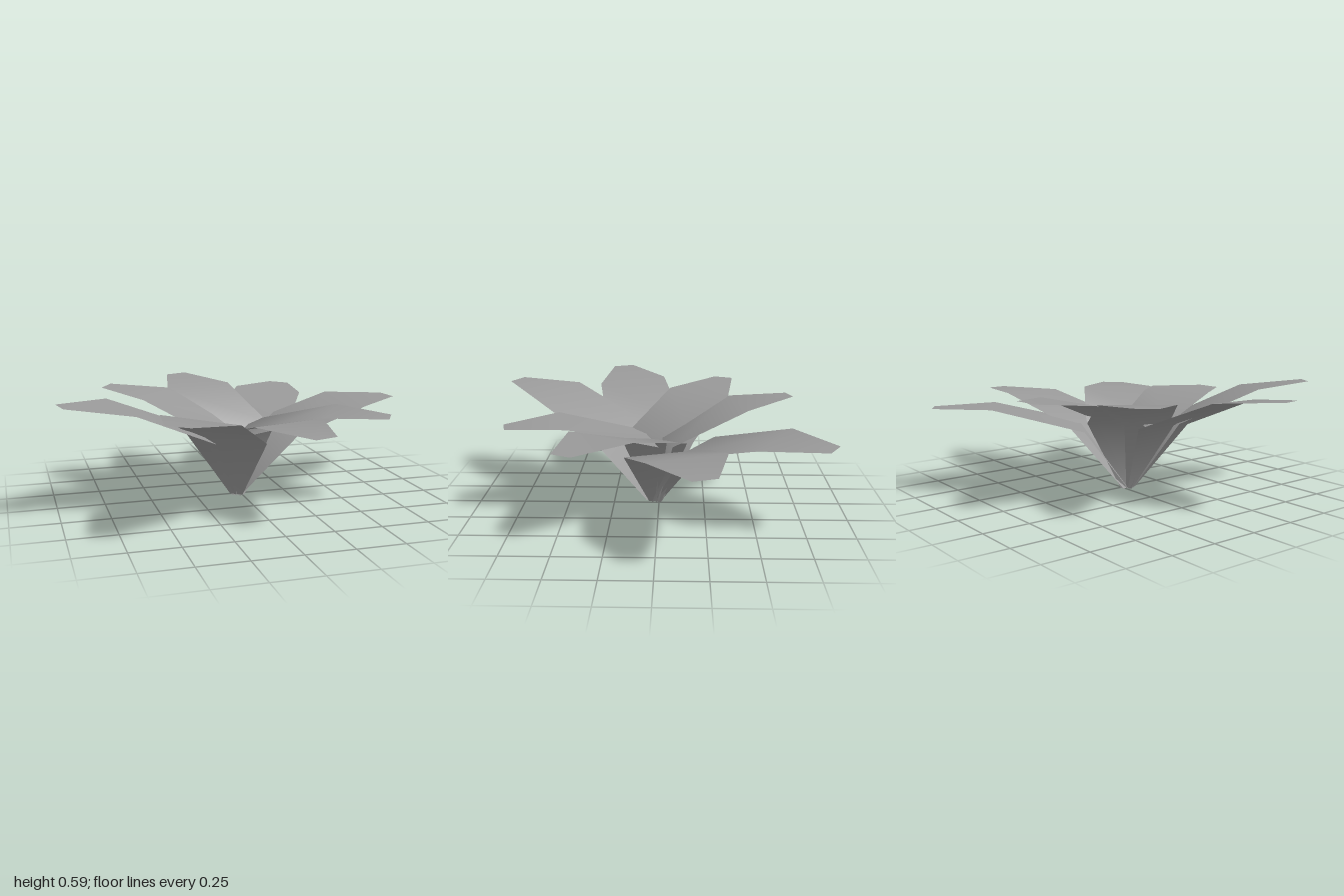
import * as THREE from 'three';

// Cross-sections from base to tip: [half width, left reach, left height, right reach, right height]
const lowWide = [
  [0.035, -0.005, 0.005, -0.005, 0.005],
  [0.22, 0.245, 0.365, 0.245, 0.35],
  [0.2, 0.72, 0.488, 0.72, 0.465],
  [0.06, 1.035, 0.476, 1.035, 0.471],
];
const lowUpright = [
  [0.035, 0, 0.005, 0, 0.005],
  [0.22, 0.03, 0.385, 0.03, 0.365],
  [0.2, 0.503, 0.5, 0.503, 0.497],
  [0.06, 0.815, 0.483, 0.815, 0.48],
];
const highWide = [
  [0.035, 0.035, 0.015, 0.035, 0.015],
  [0.22, 0.25, 0.36, 0.25, 0.4],
  [0.198, 0.675, 0.543, 0.675, 0.572],
  [0.06, 0.99, 0.588, 0.99, 0.592],
];
const highUpright = [
  [0.035, 0.01, 0.005, 0.01, 0.005],
  [0.22, 0.045, 0.36, 0.045, 0.38],
  [0.197, 0.467, 0.545, 0.467, 0.55],
  [0.06, 0.766, 0.578, 0.766, 0.582],
];

const material = new THREE.MeshStandardMaterial({ color: 0x999999, side: THREE.DoubleSide });

// One thin petal growing along +x, with its right edge towards +z
function petalGeometry(rows) {
  const positions = [];
  const index = [];
  rows.forEach(([half, leftReach, leftY, rightReach, rightY], i) => {
    positions.push(leftReach, leftY, -half, rightReach, rightY, half);
    if (i > 0) {
      const a = 2 * (i - 1);
      index.push(a, a + 1, a + 2, a + 1, a + 3, a + 2);
    }
  });
  const geometry = new THREE.BufferGeometry();
  geometry.setAttribute('position', new THREE.Float32BufferAttribute(positions, 3));
  geometry.setIndex(index);
  geometry.computeVertexNormals();
  return geometry;
}

export function createModel() {
  const flower = new THREE.Group();
  flower.name = 'flower';

  // Neighbouring pairs of petals share a shape around the bloom
  const shapes = [lowWide, lowUpright, highWide, highUpright];
  const names = ['lowWidePetal', 'lowUprightPetal', 'highWidePetal', 'highUprightPetal'];
  const geometries = shapes.map(petalGeometry);
  for (let i = 0; i < 8; i++) {
    const kind = Math.floor(i / 2);
    const petal = new THREE.Mesh(geometries[kind], material);
    petal.name = names[kind] + (i % 2 + 1);
    petal.rotation.y = -THREE.MathUtils.degToRad(-58.6 + 45 * i);
    petal.position.set(-0.02, 0, 0.02);
    flower.add(petal);
  }
  return flower;
}
